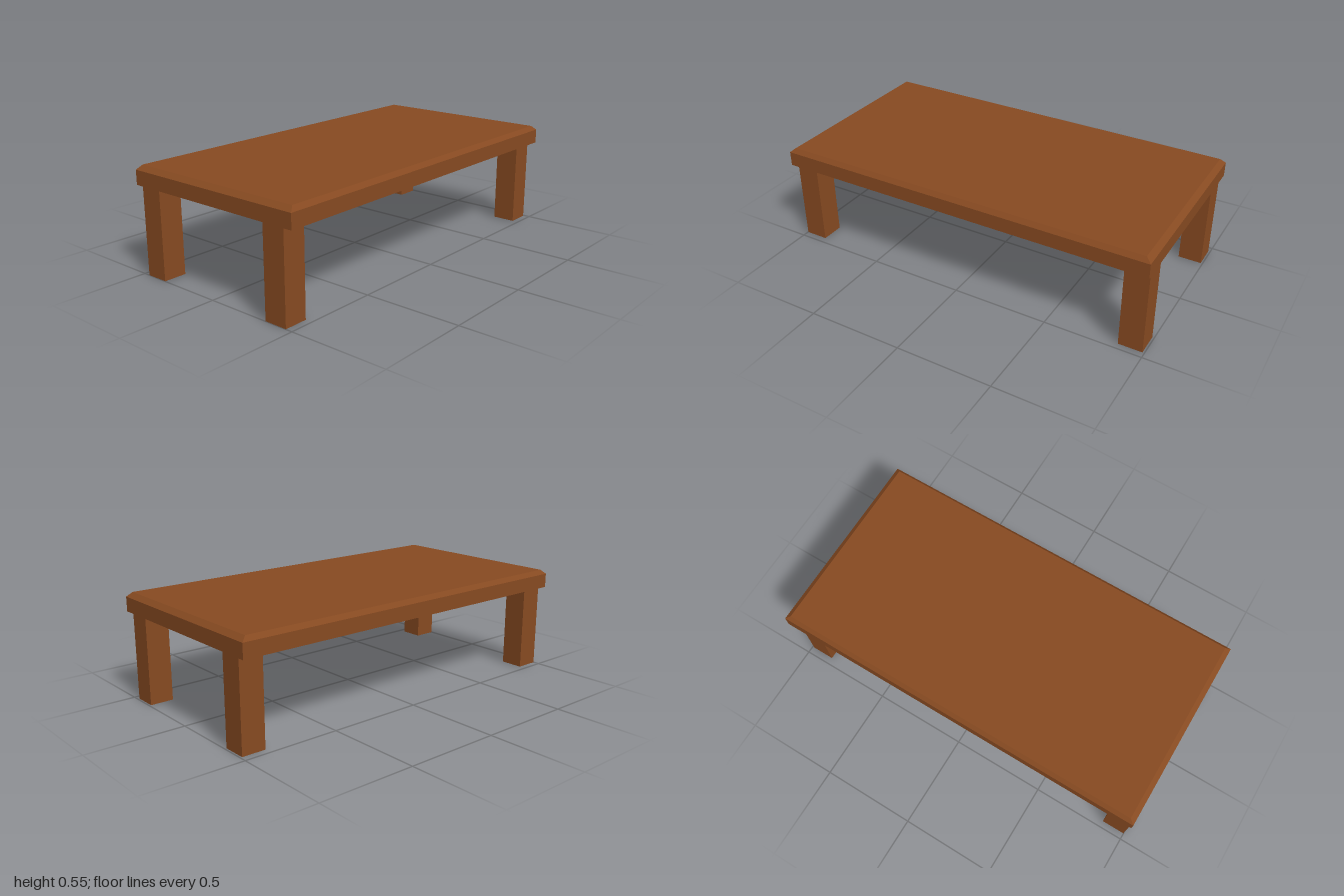
import * as THREE from 'three';

const wood = new THREE.MeshStandardMaterial({ color: 0x874a21, side: THREE.DoubleSide });
wood.name = 'brown wood';

// Open-bottomed shell from rectangular rings [y, halfWidth, halfDepth], bottom to top
function shell(rings, capped) {
  const corners = [[1, 1], [1, -1], [-1, -1], [-1, 1]];
  const points = rings.map(([y, w, d]) => corners.map(([sx, sz]) => [sx * w, y, sz * d]));
  const positions = [];
  const quad = (a, b, c, d) => positions.push(...a, ...b, ...c, ...a, ...c, ...d);
  for (let r = 0; r < points.length - 1; r++) {
    for (let i = 0; i < 4; i++) {
      const j = (i + 1) % 4;
      quad(points[r][i], points[r][j], points[r + 1][j], points[r + 1][i]);
    }
  }
  if (capped) quad(...points[points.length - 1]);
  const geometry = new THREE.BufferGeometry();
  geometry.setAttribute('position', new THREE.Float32BufferAttribute(positions, 3));
  geometry.computeVertexNormals();
  return geometry;
}

export function createModel() {
  const table = new THREE.Group();
  table.name = 'table';

  // Hollow table top with a bevelled upper edge
  const top = new THREE.Mesh(
    shell([[0.45, 1, 0.511], [0.525, 1, 0.511], [0.548, 0.973, 0.492]], true), wood);
  top.name = 'tableTop';
  table.add(top);

  // Four square hollow legs, open at the floor
  const legGeometry = shell([[0, 0.061, 0.061], [0.45, 0.061, 0.061]], false);
  const legs = [
    ['frontLeftLeg', 0.929, 0.405], ['backLeftLeg', 0.929, -0.401],
    ['frontRightLeg', -0.938, 0.403], ['backRightLeg', -0.938, -0.405],
  ];
  for (const [name, x, z] of legs) {
    const leg = new THREE.Mesh(legGeometry, wood);
    leg.name = name;
    leg.position.set(x, 0, z);
    table.add(leg);
  }
  return table;
}
